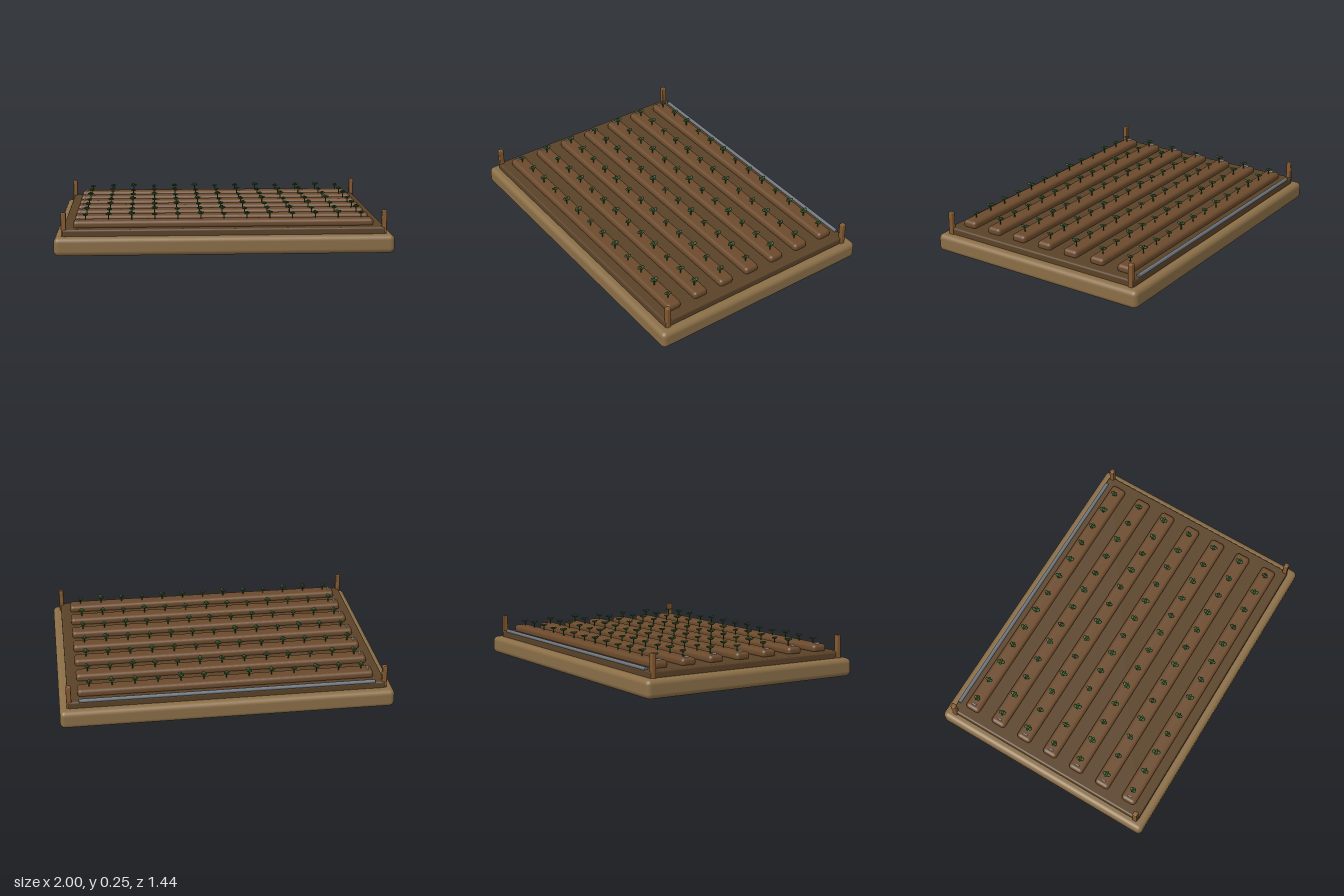
import * as THREE from 'three';
import { RoundedBoxGeometry } from 'three/addons/geometries/RoundedBoxGeometry.js';
import { mergeGeometries } from 'three/addons/utils/BufferGeometryUtils.js';

const paint = (color) => new THREE.MeshStandardMaterial({ color });
const wood = paint(0x8a6e47), soil = paint(0x5a4228), ridgeSoil = paint(0x6b4a2c);
const postWood = paint(0x85592f), pipeGrey = paint(0x6c747c), tagWhite = paint(0xb8bcbc);
const stemGreen = paint(0x2c4a20), leafGreen = paint(0x2f5424);

function add(parent, name, geometry, material, x = 0, y = 0, z = 0) {
  const mesh = new THREE.Mesh(geometry, material);
  mesh.name = name;
  mesh.position.set(x, y, z);
  parent.add(mesh);
  return mesh;
}

// Cluster of small flattened leaves, widest across z
function leafCluster() {
  const leaves = [];
  for (let k = 0; k < 4; k++) {
    const alongZ = k % 2 === 1;
    const leaf = new THREE.SphereGeometry(1, 7, 5);
    leaf.scale(alongZ ? 0.014 : 0.011, 0.006, alongZ ? 0.012 : 0.008);
    leaf.rotateZ(0.4);
    leaf.translate(alongZ ? 0.012 : 0.009, 0.034 + (alongZ ? 0.002 : 0), 0);
    leaf.rotateY(k * Math.PI / 2);
    leaves.push(leaf);
  }
  const bud = new THREE.SphereGeometry(0.008, 7, 5);
  bud.translate(0, 0.036, 0);
  return mergeGeometries([...leaves, bud]);
}

export function createModel() {
  const group = new THREE.Group();
  group.name = 'plantedField';

  // Timber base and soil bed
  add(group, 'base', new RoundedBoxGeometry(2, 0.11, 1.444, 4, 0.03), wood, 0, 0.055, 0);
  add(group, 'soilBed', new RoundedBoxGeometry(1.9, 0.06, 1.345, 3, 0.012), soil, 0, 0.12, 0);

  // Corner posts
  const postGeometry = new RoundedBoxGeometry(0.03, 0.15, 0.03, 2, 0.006);
  for (const x of [-0.943, 0.943]) {
    for (const z of [-0.653, 0.653]) add(group, 'cornerPost', postGeometry, postWood, x, 0.175, z);
  }

  // Water pipe along the back
  const pipeGeometry = new THREE.CylinderGeometry(0.012, 0.012, 1.77, 12).rotateZ(Math.PI / 2);
  add(group, 'waterPipe', pipeGeometry, pipeGrey, 0, 0.152, -0.661);

  // Soil ridges with row markers and seedlings
  const ridgeGeometry = new RoundedBoxGeometry(1.78, 0.05, 0.096, 4, 0.021);
  const markerGeometry = new THREE.BoxGeometry(0.008, 0.012, 0.028);
  const stemGeometry = new THREE.CylinderGeometry(0.003, 0.004, 0.04, 6).translate(0, 0.015, 0);
  const leafGeometry = leafCluster();
  for (let row = 0; row < 7; row++) {
    const z = (row - 3) * 0.188;
    const rowGroup = new THREE.Group();
    rowGroup.name = 'cropRow';
    rowGroup.position.z = z;
    group.add(rowGroup);
    add(rowGroup, 'ridge', ridgeGeometry, ridgeSoil, 0, 0.166, 0);
    add(rowGroup, 'rowMarker', markerGeometry, tagWhite, -0.858, 0.194, 0);
    for (let i = 0; i < 13; i++) {
      const plant = new THREE.Group();
      plant.name = 'seedling';
      plant.position.set((i - 6) * 0.1365, 0.19, 0);
      plant.scale.setScalar(0.88 + 0.1 * ((row + i) % 3));
      plant.rotation.y = 0.25 * ((row * 2 + i) % 3 - 1);
      add(plant, 'stem', stemGeometry, stemGreen);
      add(plant, 'leaves', leafGeometry, leafGreen);
      rowGroup.add(plant);
    }
  }
  return group;
}
